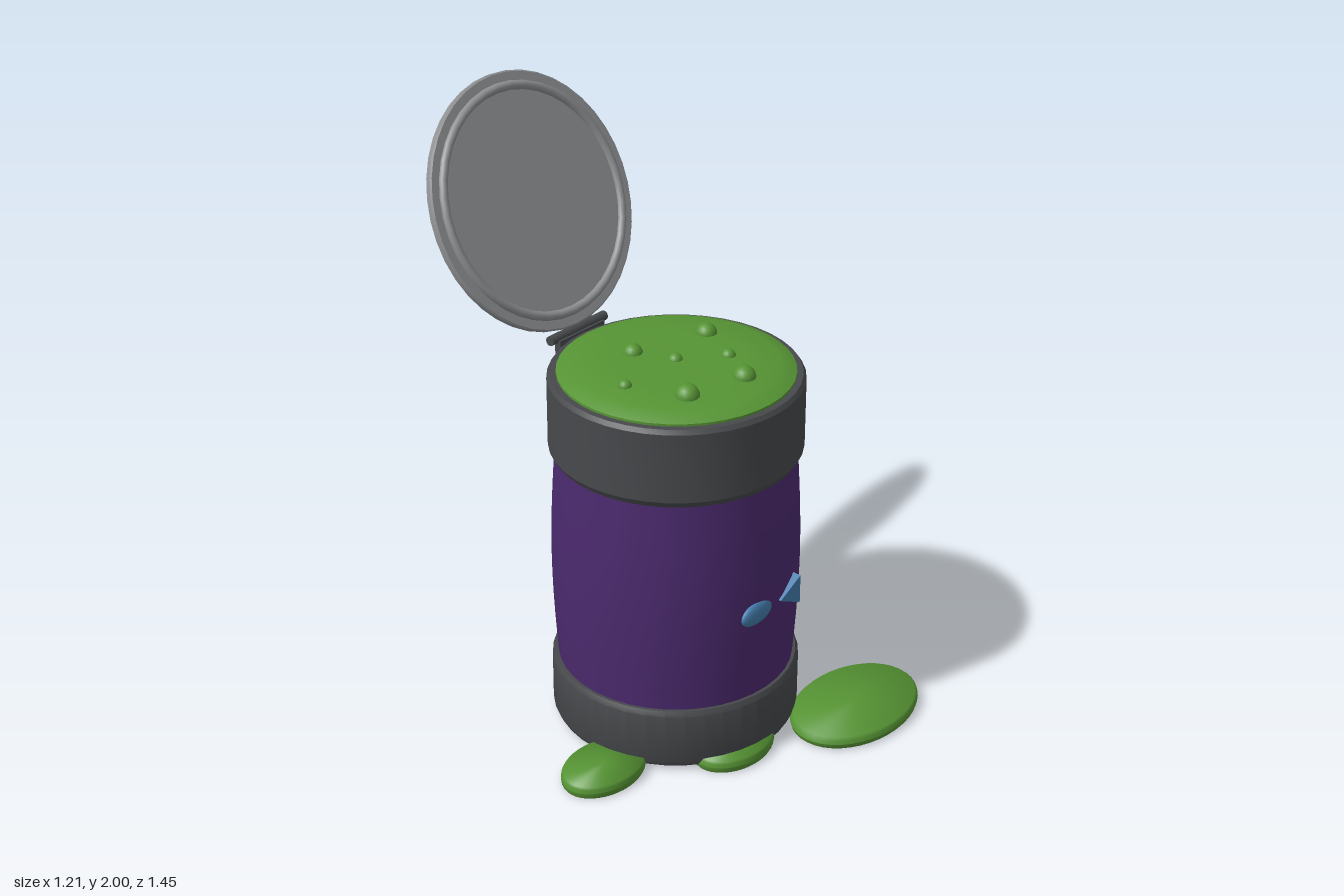
import * as THREE from 'three';
import { toCreasedNormals } from 'three/addons/utils/BufferGeometryUtils.js';

const mat = (color) => new THREE.MeshStandardMaterial({ color });
const PURPLE = mat(0x4b2a6e), DARK = mat(0x47494c), GREY = mat(0x8e9092);
const GREEN = mat(0x569434), BLUE = mat(0x437cab);
const CX = 0.01, CZ = 0.055; // barrel axis

function add(parent, name, geometry, material, x = 0, y = 0, z = 0) {
  const mesh = new THREE.Mesh(geometry, material);
  mesh.name = name;
  mesh.position.set(x, y, z);
  parent.add(mesh);
  return mesh;
}

// Turned part from [radius, height] pairs listed bottom to top, with crisp corners
function turned(points, segments = 40) {
  const profile = points.map(([r, y]) => new THREE.Vector2(r, y));
  return toCreasedNormals(new THREE.LatheGeometry(profile, segments), 0.5);
}

export function createModel() {
  const model = new THREE.Group();

  // Bulging barrel wall
  const wall = [];
  for (let i = 0; i <= 10; i++) {
    const t = i / 10;
    wall.push([0.38 + 0.017 * Math.sin(Math.PI * t), 0.2 + 0.78 * t]);
  }
  add(model, 'barrelWall', turned(wall), PURPLE, CX, 0, CZ);

  // Base and collar bands
  add(model, 'baseBand', turned([[0, 0.005], [0.375, 0.005], [0.392, 0.015], [0.401, 0.035],
    [0.401, 0.205], [0.392, 0.222], [0.37, 0.222]]), DARK, CX, 0, CZ);
  add(model, 'collarBand', turned([[0.37, 0.958], [0.388, 0.958], [0.401, 0.98],
    [0.401, 1.21], [0.392, 1.224], [0.36, 1.224]]), DARK, CX, 0, CZ);

  // Slime filling with bubbles: [x, z, radius]
  add(model, 'slime', turned([[0.372, 1.2], [0.372, 1.232], [0.355, 1.24], [0.32, 1.253],
    [0.2, 1.258], [0, 1.26]]), GREEN, CX, 0, CZ);
  const bubbles = [[-0.04, -0.08, 0.032], [0.217, 0, 0.035], [-0.222, 0.05, 0.022], [0.01, 0.05, 0.024],
    [0.14, 0.154, 0.024], [-0.145, 0.231, 0.039], [0.063, 0.281, 0.037]];
  for (const [x, z, r] of bubbles) {
    add(model, 'bubble', new THREE.SphereGeometry(r, 16, 12), GREEN, x, 1.255, z);
  }

  // Open lid, tilted back; local +z is its inner face
  const lid = new THREE.Group();
  lid.name = 'lid';
  lid.position.set(CX, 1.619, -0.543);
  lid.rotation.x = -THREE.MathUtils.degToRad(25);
  model.add(lid);
  const disc = turned([[0, -0.0125], [0.41, -0.0125], [0.415, -0.008], [0.415, 0.008],
    [0.41, 0.0125], [0, 0.0125]]);
  add(lid, 'lidDisc', disc.rotateX(Math.PI / 2), GREY);
  add(lid, 'lidSealRing', new THREE.TorusGeometry(0.367, 0.015, 10, 40), GREY, 0, 0, 0.0125);

  // Hinge
  add(model, 'hingePlate', new THREE.BoxGeometry(0.205, 0.09, 0.024), DARK, CX, 1.186, -0.349);
  const pin = new THREE.CylinderGeometry(0.016, 0.016, 0.255, 12).rotateZ(Math.PI / 2);
  add(model, 'hingePin', pin, DARK, CX, 1.233, -0.36);

  // Fish emblem: oval body and triangular tail
  const fishBody = add(model, 'fishBody', new THREE.SphereGeometry(1, 24, 16), BLUE, -0.055, 0.533, 0.443);
  fishBody.scale.set(0.072, 0.039, 0.018);
  const tail = new THREE.Shape([[0.046, 0.533], [0.143, 0.483], [0.143, 0.583]]
    .map(([x, y]) => new THREE.Vector2(x, y)));
  add(model, 'fishTail', new THREE.ExtrudeGeometry(tail, { depth: 0.03, bevelEnabled: false }),
    BLUE, 0, 0, 0.428);

  // Spilled puddles: [x, z, half width, half depth]
  const puddles = [[0.348, 0.54, 0.256, 0.178], [-0.45, 0.153, 0.158, 0.113], [-0.077, 0.375, 0.158, 0.113]];
  for (const [x, z, w, d] of puddles) {
    const geometry = turned([[0, 0], [0.95, 0], [0.985, 0.008], [1, 0.021], [0.985, 0.034],
      [0.95, 0.042], [0, 0.042]]);
    add(model, 'puddle', geometry, GREEN, x, 0, z).scale.set(w, 1, d);
  }

  return model;
}
